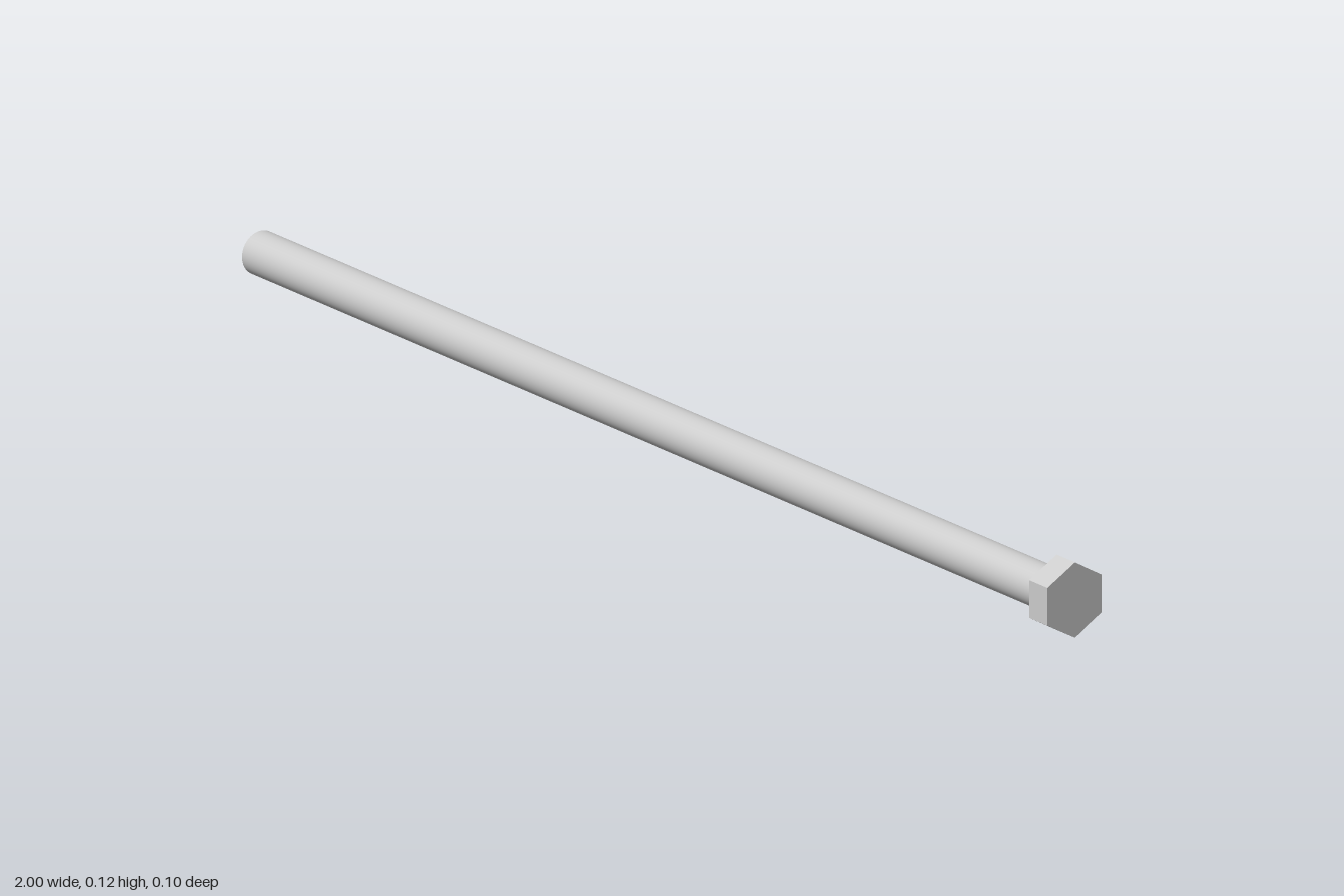
import * as THREE from 'three';

const HEAD_R = 0.0588;   // centre to corner of the hexagon
const HEAD_L = 0.045;
const SHAFT_R = 0.034;

export function createModel() {
  const group = new THREE.Group();
  group.name = 'hexBolt';

  // Cylinder lying along x between two ends, raised to the bolt axis
  const addRod = (name, radius, x0, x1, sides, flatShading) => {
    const geometry = new THREE.CylinderGeometry(radius, radius, x1 - x0, sides, 1, false, Math.PI / 2);
    geometry.rotateZ(-Math.PI / 2);
    const material = new THREE.MeshStandardMaterial({ color: 0xcccccc, flatShading });
    const mesh = new THREE.Mesh(geometry, material);
    mesh.name = name;
    mesh.position.set((x0 + x1) / 2, HEAD_R, 0);
    group.add(mesh);
  };

  // Long smooth shaft, then the six-sided head with corners up and down
  addRod('shaft', SHAFT_R, -1, 1 - HEAD_L, 64, false);
  addRod('head', HEAD_R, 1 - HEAD_L, 1, 6, true);

  return group;
}
